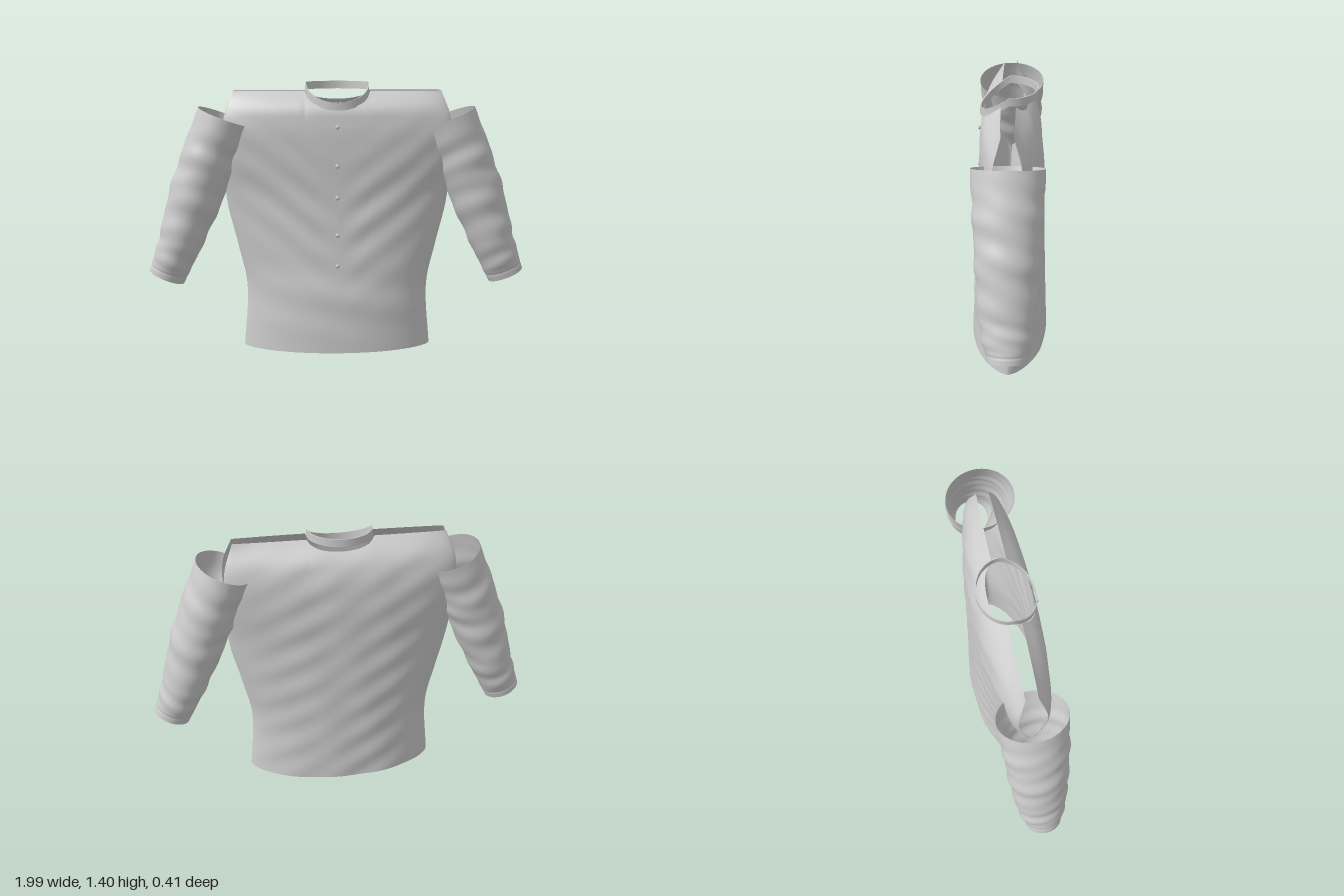
import * as THREE from 'three';
import { mergeVertices } from 'three/addons/utils/BufferGeometryUtils.js';

// smooth interpolation through [position, value] pairs
function spline(pairs) {
  const c = new THREE.CubicInterpolant(pairs.map(p => p[0]), pairs.map(p => p[1]), 1);
  return t => c.evaluate(t)[0];
}

// surface from a rule f(u, v) -> [x, y, z], u and v in 0..1
function sheet(nu, nv, f, flip = false) {
  const pos = [], idx = [];
  for (let j = 0; j <= nv; j++) for (let i = 0; i <= nu; i++) pos.push(...f(i / nu, j / nv));
  for (let j = 0; j < nv; j++) for (let i = 0; i < nu; i++) {
    const a = j * (nu + 1) + i, b = a + 1, c = a + nu + 1, d = c + 1;
    idx.push(...(flip ? [a, c, b, b, c, d] : [a, b, c, b, d, c]));
  }
  let g = new THREE.BufferGeometry();
  g.setAttribute('position', new THREE.Float32BufferAttribute(pos, 3));
  g.setIndex(idx);
  g = mergeVertices(g, 1e-5);
  g.computeVertexNormals();
  return g;
}

const bump = (v, c, w) => Math.exp(-(((v - c) / w) ** 2));

// torso outline: half width, depth of each panel, and depth left at the open armhole edge
const halfWidth = spline([[0, 0.497], [0.34, 0.48], [0.55, 0.525], [0.8, 0.582], [1.0, 0.59], [1.23, 0.585], [1.36, 0.54]]);
const frontDepth = spline([[0, 0.2], [0.25, 0.19], [0.5, 0.165], [0.8, 0.15], [1.05, 0.152], [1.2, 0.145], [1.28, 0.125], [1.36, 0.04]]);
const backDepth = spline([[0, 0.203], [0.3, 0.195], [0.8, 0.182], [1.05, 0.175], [1.2, 0.155], [1.28, 0.12], [1.36, 0.035]]);
const armholeEdge = spline([[0, 0], [0.6, 0], [0.82, 0.003], [1.0, 0.05], [1.2, 0.07], [1.36, 0.03]]);

// soft cloth folds: chest folds run down toward the centre, the back is gently rumpled
function frontFolds(x, y) {
  const ax = Math.abs(x);
  const vee = Math.sin((y - 0.75 * ax) * 34 + Math.sin(x * 5)) * bump(y - 0.6 * ax, 0.62, 0.3) * Math.min(1, ax * 8);
  const hem = Math.sin(y * 27 + x * 6) * bump(y, 0.28, 0.2);
  return 0.005 * vee + 0.0035 * hem;
}
const backFolds = (x, y) =>
  0.003 * Math.sin(x * 19 + y * 14) * Math.sin(y * 21 - x * 8) + 0.002 * Math.sin(y * 37 + x * 23);

function panelZ(u, y, front) {
  const x = u * halfWidth(y), e = armholeEdge(y);
  const round = Math.pow(Math.max(0, 1 - Math.pow(Math.abs(u), 2.1)), 0.65);
  const fold = (front ? frontFolds(x, y) : backFolds(x, y)) * round * Math.min(1, (1.36 - y) * 8);
  return e + ((front ? frontDepth(y) : backDepth(y)) - e) * round + fold;
}

function torsoPanel(front) {
  const dip = front ? 0.09 : 0.05;
  return sheet(88, 80, (a, t) => {
    const u = Math.sin((a - 0.5) * Math.PI);
    const n = Math.min(1, Math.abs(u * 0.56) / 0.17);
    const y = t * (1.36 - dip * Math.sqrt(1 - n * n));
    return [u * halfWidth(y), y, panelZ(u, y, front) * (front ? 1 : -1)];
  }, !front);
}

// sleeve edges in the front plane, shoulder to cuff
const curve = pts => new THREE.CatmullRomCurve3(pts.map(p => new THREE.Vector3(p[0], p[1], 0)));
const sleeveOuter = curve([[0.722, 1.275], [0.81, 1.05], [0.885, 0.83], [0.937, 0.61], [0.975, 0.48], [0.996, 0.41]]);
const sleeveInner = curve([[0.442, 1.17], [0.522, 0.99], [0.592, 0.81], [0.695, 0.58], [0.78, 0.41], [0.817, 0.337]]);
const sleeveDepth = spline([[0, 0.176], [0.25, 0.163], [0.5, 0.147], [0.75, 0.122], [0.9, 0.102], [1, 0.096]]);

function sleevePoint(a, t, side) {
  const th = a * Math.PI * 2;
  const o = sleeveOuter.getPoint(t), i = sleeveInner.getPoint(t);
  const c = Math.cos(th), s = Math.sin(th);
  // rumples fade at the opening and at the cuff
  const fade = Math.min(1, t * 6) * Math.max(0, Math.min(1, (0.88 - t) * 6));
  const k = 1 + fade * (0.022 * Math.sin(t * 34 + 2 * c) + 0.015 * Math.sin(t * 55 + 3 * s + c))
    - 0.03 * bump(t, 0.9, 0.012);
  return [
    side * ((o.x + i.x) / 2 + (o.x - i.x) / 2 * c * k),
    (o.y + i.y) / 2 + (o.y - i.y) / 2 * c * k,
    sleeveDepth(t) * s * k - 0.004,
  ];
}

export function createModel() {
  const model = new THREE.Group();
  const cloth = new THREE.MeshStandardMaterial({ color: 0xcccccc, side: THREE.DoubleSide });
  cloth.name = 'light grey cloth';
  const add = (name, geometry) => {
    const m = new THREE.Mesh(geometry, cloth);
    m.name = name;
    model.add(m);
    return m;
  };

  // torso panels, open along the shoulders and armholes
  add('frontPanel', torsoPanel(true));
  add('backPanel', torsoPanel(false));

  // placket strip lying on the front panel
  add('placket', sheet(4, 30, (a, t) => {
    const y = 0.45 + t * 0.43, x = (a - 0.5) * (0.05 + 0.012 * Math.sin(y * 24));
    return [x, y, panelZ(x / halfWidth(y), y, true) + 0.003];
  }));

  // standing collar band, level behind and dropping toward the front
  const collar = (grow, lift) => (a, t) => {
    const th = a * Math.PI * 2, c = Math.cos(th);
    return [(0.167 - grow) * Math.sin(th), 1.362 - 0.098 * Math.max(0, c) + lift(t), (0.148 - grow) * c];
  };
  add('collarOuter', sheet(64, 2, collar(0, t => t * 0.04)));
  add('collarInner', sheet(64, 2, collar(0.006, t => t * 0.04), true));
  add('collarRim', sheet(64, 1, (a, t) => collar(t * 0.006, () => 0.04)(a, t)));

  // front buttons
  const buttonShape = new THREE.SphereGeometry(0.011, 16, 10).scale(1, 1, 0.6);
  for (const y of [1.18, 0.98, 0.815, 0.62, 0.46]) {
    add('frontButton', buttonShape).position.set(-0.004, y, panelZ(0, y, true) + 0.006);
  }

  // sleeves with a button above each cuff
  for (const side of [1, -1]) {
    const label = side > 0 ? 'left' : 'right';
    add(label + 'Sleeve', sheet(56, 72, (a, t) => sleevePoint(a, t, side), side < 0));
    const p = sleevePoint(0.26, 0.85, side);
    add(label + 'CuffButton', buttonShape).position.set(side * 0.865, 0.495, p[2] + 0.003);
  }
  return model;
}
